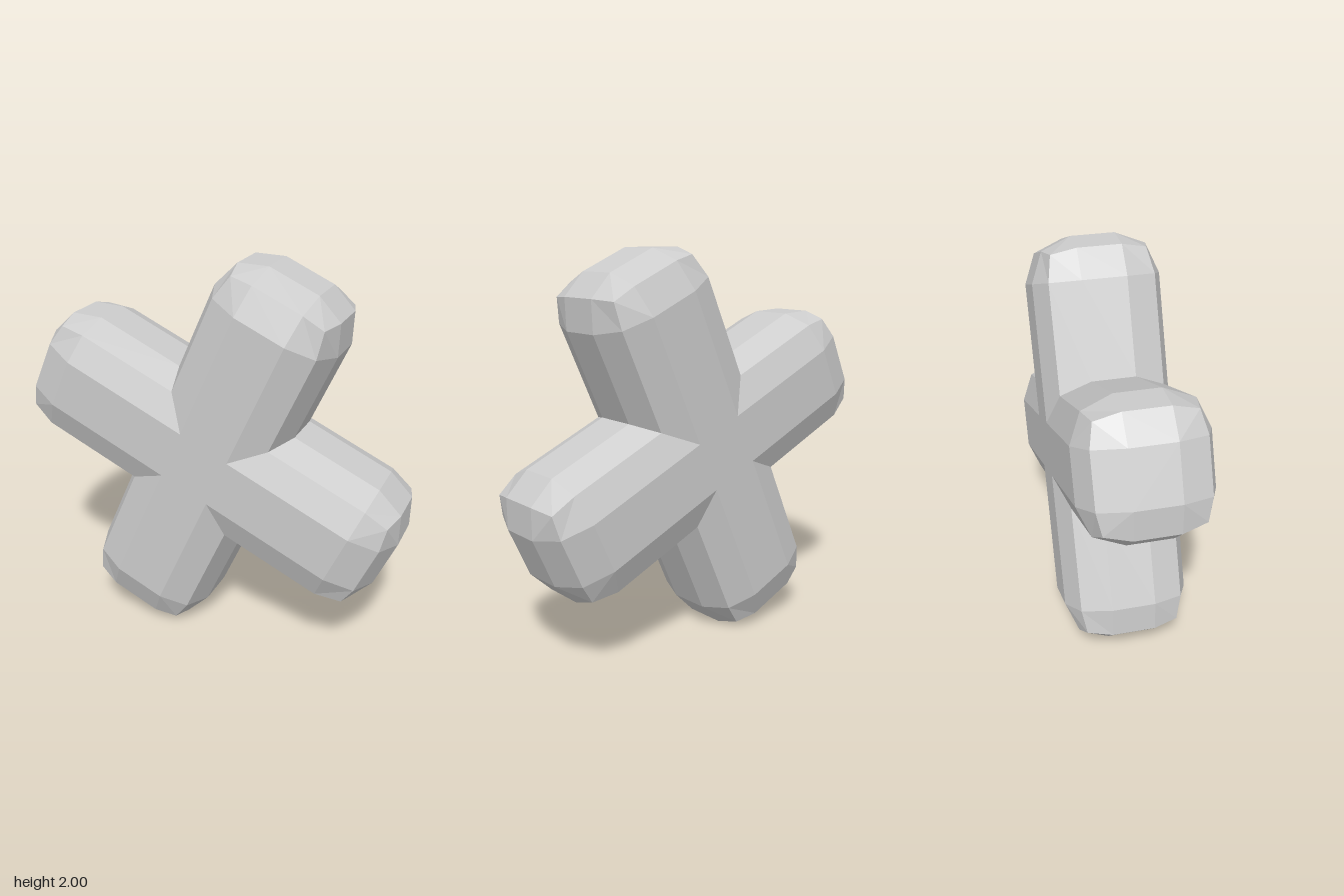
import * as THREE from 'three';

// Mirror one quadrant of [x, y, z] points into a closed 12-point ring around y
function ring(quadrant) {
  const mirror = (sx, sz) => quadrant.map(([x, y, z]) => [sx * x, y, sz * z]);
  return [...mirror(1, 1), ...mirror(-1, 1).reverse(), ...mirror(-1, -1), ...mirror(1, -1).reverse()];
}

// One bevelled arm pointing up +y, mitred at its root to meet its neighbours
function armGeometry() {
  const section = [[0.34, 0.11], [0.28, 0.26], [0.135, 0.32]];
  const rings = [
    ring(section.map(([x, z]) => [x, x, z])), // mitred root
    ring(section.map(([x, z]) => [x, 0.82, z])), // end of straight part
    ring([[0.28, 0.972, 0.11], [0.25, 0.95, 0.235], [0.135, 0.972, 0.26]]), // rounded shoulder
    ring(Array(3).fill([0.135, 1.034, 0.11])), // corners of the end face
  ];
  const positions = [];
  const quad = (a, b, c, d) => positions.push(...a, ...b, ...c, ...a, ...c, ...d);
  for (let r = 0; r < 3; r++) {
    const lower = rings[r], upper = rings[r + 1];
    for (let i = 0; i < 12; i++) {
      const j = (i + 1) % 12;
      if (r === 2 && i % 3 < 2) {
        positions.push(...lower[i], ...upper[i], ...lower[j]); // corner triangles
      } else {
        quad(lower[i], upper[i], upper[j], lower[j]);
      }
    }
  }
  const end = rings[3];
  quad(end[0], end[9], end[6], end[3]);
  const geometry = new THREE.BufferGeometry();
  geometry.setAttribute('position', new THREE.Float32BufferAttribute(positions, 3));
  geometry.computeVertexNormals();
  return geometry;
}

export function createModel() {
  const model = new THREE.Group();
  model.name = 'bevelledCross';
  const material = new THREE.MeshStandardMaterial({ color: 0xcccccc, flatShading: true });

  const cross = new THREE.Group();
  cross.name = 'tiltedCross';
  cross.position.y = 1;
  cross.rotation.z = THREE.MathUtils.degToRad(-24);
  model.add(cross);

  // Four equal arms
  const geometry = armGeometry();
  ['upperArm', 'leftArm', 'lowerArm', 'rightArm'].forEach((name, i) => {
    const arm = new THREE.Mesh(geometry, material);
    arm.name = name;
    arm.rotation.z = -i * Math.PI / 2;
    cross.add(arm);
  });

  // Flat squares closing the middle at front and back
  for (const side of [1, -1]) {
    const hub = new THREE.Mesh(new THREE.PlaneGeometry(0.27, 0.27), material);
    hub.name = side > 0 ? 'frontCentre' : 'backCentre';
    hub.position.z = 0.32 * side;
    if (side < 0) hub.rotation.y = Math.PI;
    cross.add(hub);
  }
  return model;
}
